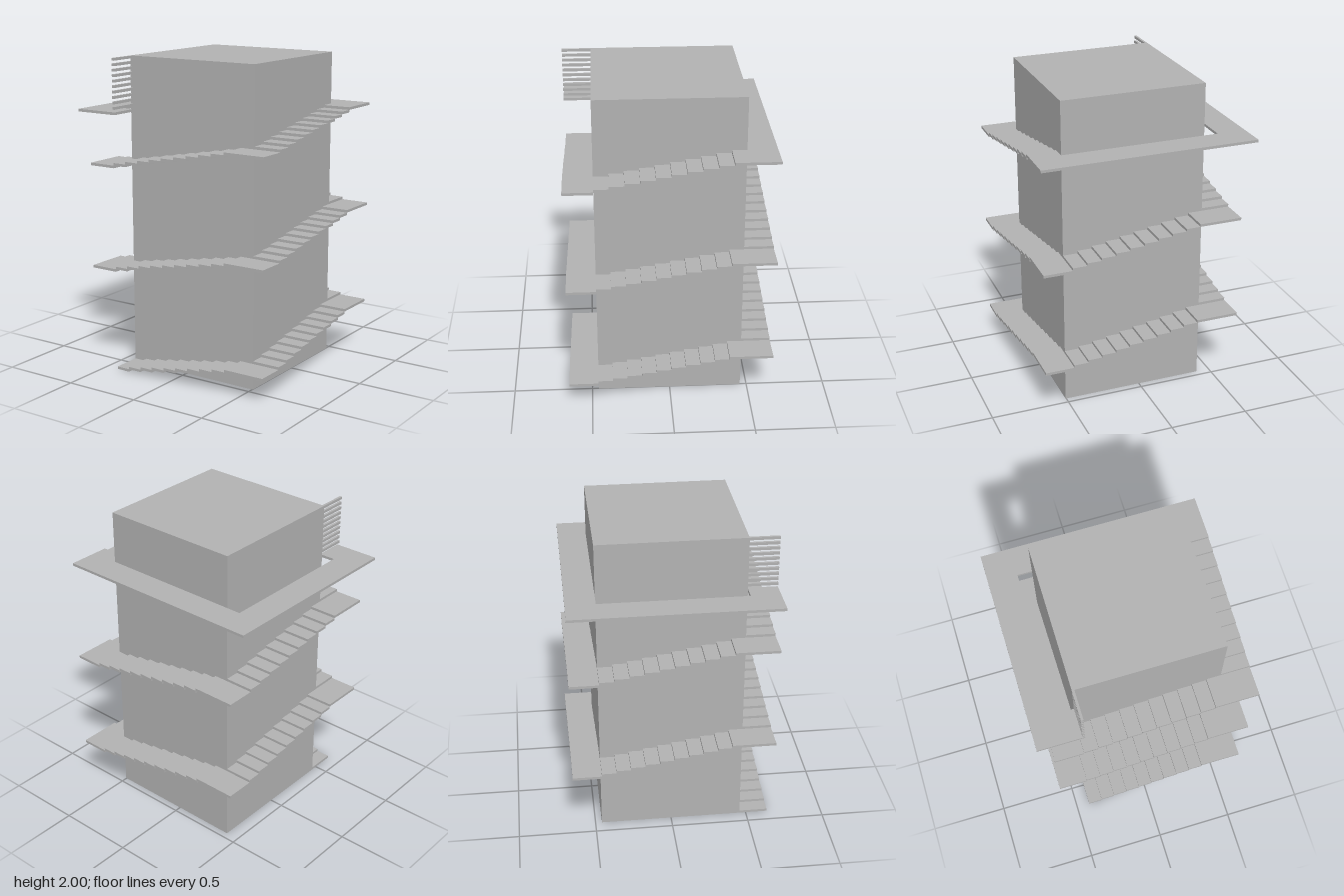
import * as THREE from 'three';

export function createModel() {
  const model = new THREE.Group();
  const grey = new THREE.MeshStandardMaterial({ color: 0xb2b2b2 });
  grey.name = 'concrete grey';

  const X0 = -0.4125, X1 = 0.504, Z = 0.458; // tower faces
  const W = 0.1835;                          // stair width
  const RISE = 1 / 60, STEPS = 10;

  // box given by its two opposite corners
  function block(name, x0, x1, y0, y1, z0, z1, parent = model) {
    const mesh = new THREE.Mesh(new THREE.BoxGeometry(x1 - x0, y1 - y0, z1 - z0), grey);
    mesh.position.set((x0 + x1) / 2, (y0 + y1) / 2, (z0 + z1) / 2);
    mesh.name = name;
    parent.add(mesh);
  }

  block('tower', X0, X1, 0, 2, -Z, Z);

  // stairs wind round the tower: front, right, back, left; the last tread fills the corner
  const runX = (X1 - X0) / STEPS, runZ = (2 * Z) / STEPS;
  const sides = ['front', 'right', 'back', 'left'];
  for (let f = 0; f < 10; f++) {
    const side = f % 4;
    const flight = new THREE.Group();
    flight.name = sides[side] + 'Flight';
    model.add(flight);
    for (let i = 0; i < STEPS; i++) {
      const y = (f * STEPS + i) * RISE, top = y + RISE;
      const corner = i === STEPS - 1 ? W : 0;
      const ax = i * runX, bx = ax + runX + corner;
      const az = i * runZ, bz = az + runZ + corner;
      if (side === 0) block('step', X0 + ax, X0 + bx, y, top, Z, Z + W, flight);
      if (side === 1) block('step', X1, X1 + W, y, top, Z - bz, Z - az, flight);
      if (side === 2) block('step', X1 - bx, X1 - ax, y, top, -Z - W, -Z, flight);
      if (side === 3) block('step', X0 - W, X0, y, top, -Z + az, -Z + bz, flight);
    }
  }

  // walkway along the back, left and front left corner, with a gap beside the tower
  const y0 = 99 * RISE, y1 = 100 * RISE, outer = -X1 - W;
  const walk = new THREE.Shape([
    [X1, Z], [X1, Z + W], [outer, Z + W], [outer, -Z - W],
    [X0, -Z - W], [X0, -Z], [-X1, -Z], [-X1, Z],
  ].map(([x, y]) => new THREE.Vector2(x, y)));
  const walkway = new THREE.Mesh(
    new THREE.ExtrudeGeometry(walk, { depth: y1 - y0, bevelEnabled: false }), grey);
  walkway.rotation.x = -Math.PI / 2;
  walkway.position.y = y0;
  walkway.name = 'walkway';
  model.add(walkway);

  // ladder of thin rungs up to the roof
  const ladder = new THREE.Group();
  ladder.name = 'ladder';
  model.add(ladder);
  for (let i = 0; i < 11; i++) {
    const y = y0 + i * 2 * RISE;
    block('rung', X0, X0 + 0.0155, y, y + RISE, Z, Z + W, ladder);
  }
  return model;
}
